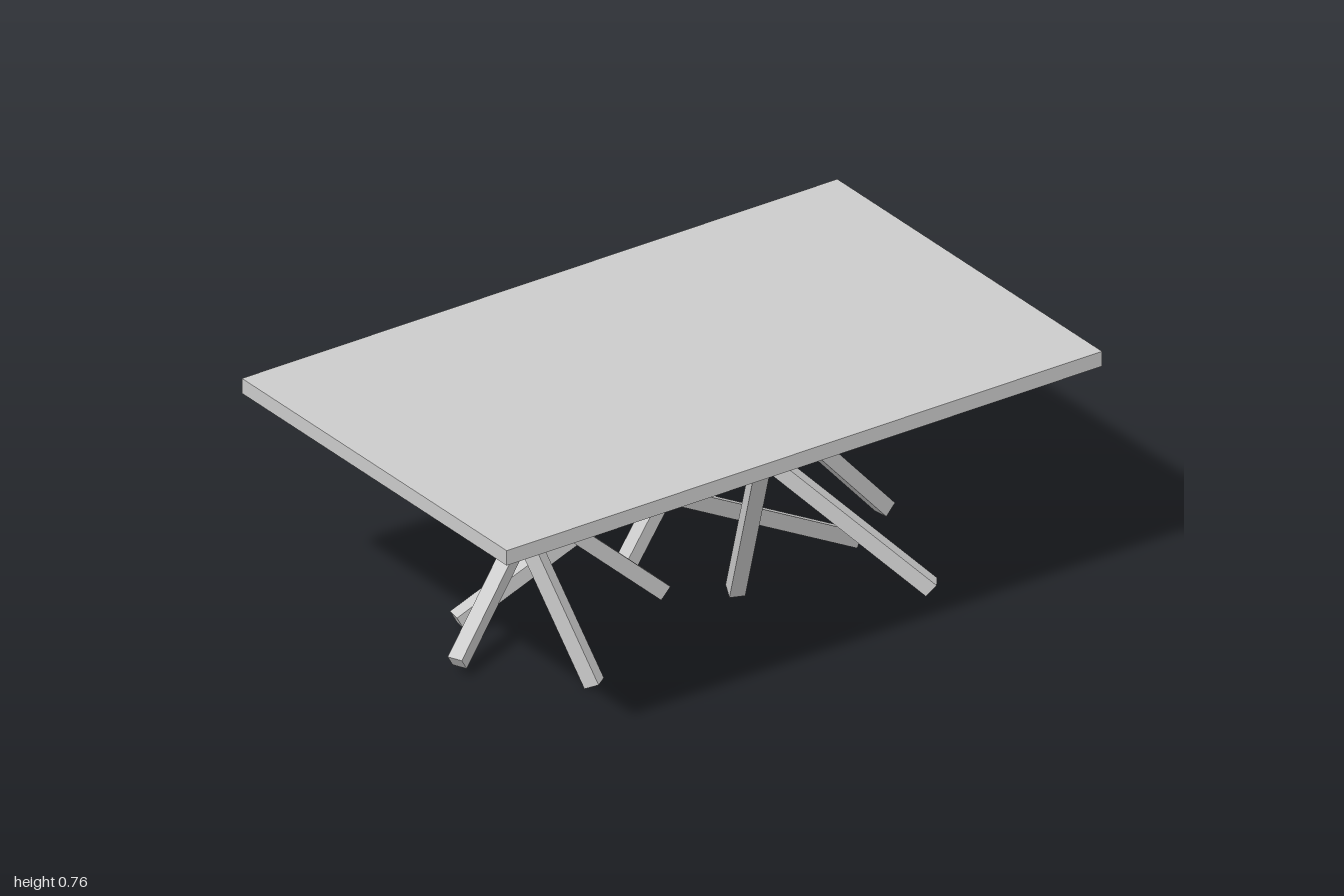
import * as THREE from 'three';

export function createModel() {
  const group = new THREE.Group();
  const material = new THREE.MeshStandardMaterial({ color: 0xcccccc });

  function slab(name, w, h, d, y) {
    const mesh = new THREE.Mesh(new THREE.BoxGeometry(w, h, d), material);
    mesh.name = name;
    mesh.position.y = y;
    group.add(mesh);
  }

  // Table top and the thin mounting panel beneath it
  slab('tableTop', 2, 0.046, 1.24, 0.739);
  slab('mountingPanel', 1.71, 0.008, 0.95, 0.712);

  // Criss-cross square legs: foot x, y, z, then head x, z
  const legs = [
    [-0.70, 0.045, -0.03, 0.15, -0.40],
    [-0.43, 0.012, 0.235, -0.62, -0.03],
    [-0.355, 0.03, -0.33, -0.06, -0.02],
    [-0.55, 0.04, -0.24, 0.69, -0.01],
    [0.0, 0.045, -0.05, -0.74, -0.08],
    [0.02, 0.045, -0.24, 0.51, -0.27],
    [0.17, 0.04, 0.06, 0.05, 0.38],
    [0.61, 0.04, 0.0, -0.53, 0.29],
    [0.61, 0.045, 0.365, 0.0, -0.11],
    [0.78, 0.045, -0.09, 0.165, 0.0],
  ];
  const thickness = 0.045, headY = 0.716;
  legs.forEach(([x, y, z, headX, headZ], i) => {
    const foot = new THREE.Vector3(x, y, z);
    const head = new THREE.Vector3(headX, headY, headZ);
    const leg = new THREE.Mesh(
      new THREE.BoxGeometry(thickness, thickness, foot.distanceTo(head)), material);
    leg.name = 'leg' + (i + 1);
    leg.position.copy(foot).lerp(head, 0.5);
    leg.lookAt(head);
    group.add(leg);
  });

  return group;
}
